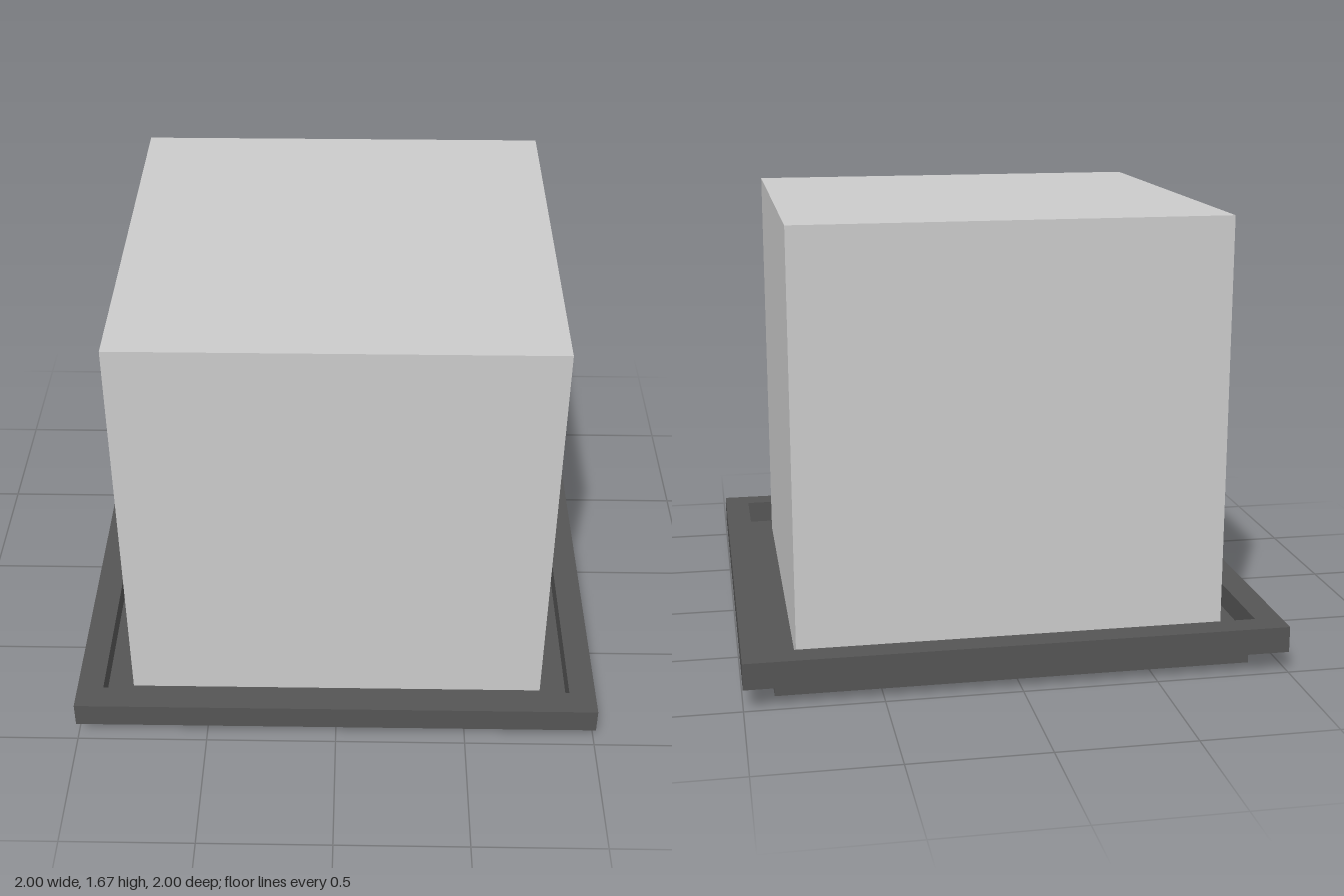
import * as THREE from 'three';

// Square slab given its half width and vertical extent
function slab(name, half, y0, y1, material) {
  const mesh = new THREE.Mesh(new THREE.BoxGeometry(half * 2, y1 - y0, half * 2), material);
  mesh.position.y = (y0 + y1) / 2;
  mesh.name = name;
  return mesh;
}

function square(path, half) {
  path.moveTo(-half, -half);
  path.lineTo(half, -half);
  path.lineTo(half, half);
  path.lineTo(-half, half);
  path.closePath();
  return path;
}

export function createModel() {
  const group = new THREE.Group();
  group.name = 'displayBlock';
  const dark = new THREE.MeshStandardMaterial({ color: 0x555555 });
  const grey = new THREE.MeshStandardMaterial({ color: 0xcccccc });

  // Foot under the tray, and the tray's recessed floor
  group.add(slab('foot', 0.885, 0, 0.082, dark));
  group.add(slab('trayFloor', 0.9, 0.08, 0.088, dark));

  // Raised square rim around the floor
  const outline = square(new THREE.Shape(), 1);
  outline.holes.push(square(new THREE.Path(), 0.9));
  const rimGeometry = new THREE.ExtrudeGeometry(outline, { depth: 0.098, bevelEnabled: false });
  rimGeometry.rotateX(-Math.PI / 2);
  const rim = new THREE.Mesh(rimGeometry, dark);
  rim.position.y = 0.08;
  rim.name = 'trayRim';
  group.add(rim);

  // Large cube standing in the tray
  group.add(slab('cube', 0.8, 0.075, 1.675, grey));
  return group;
}
